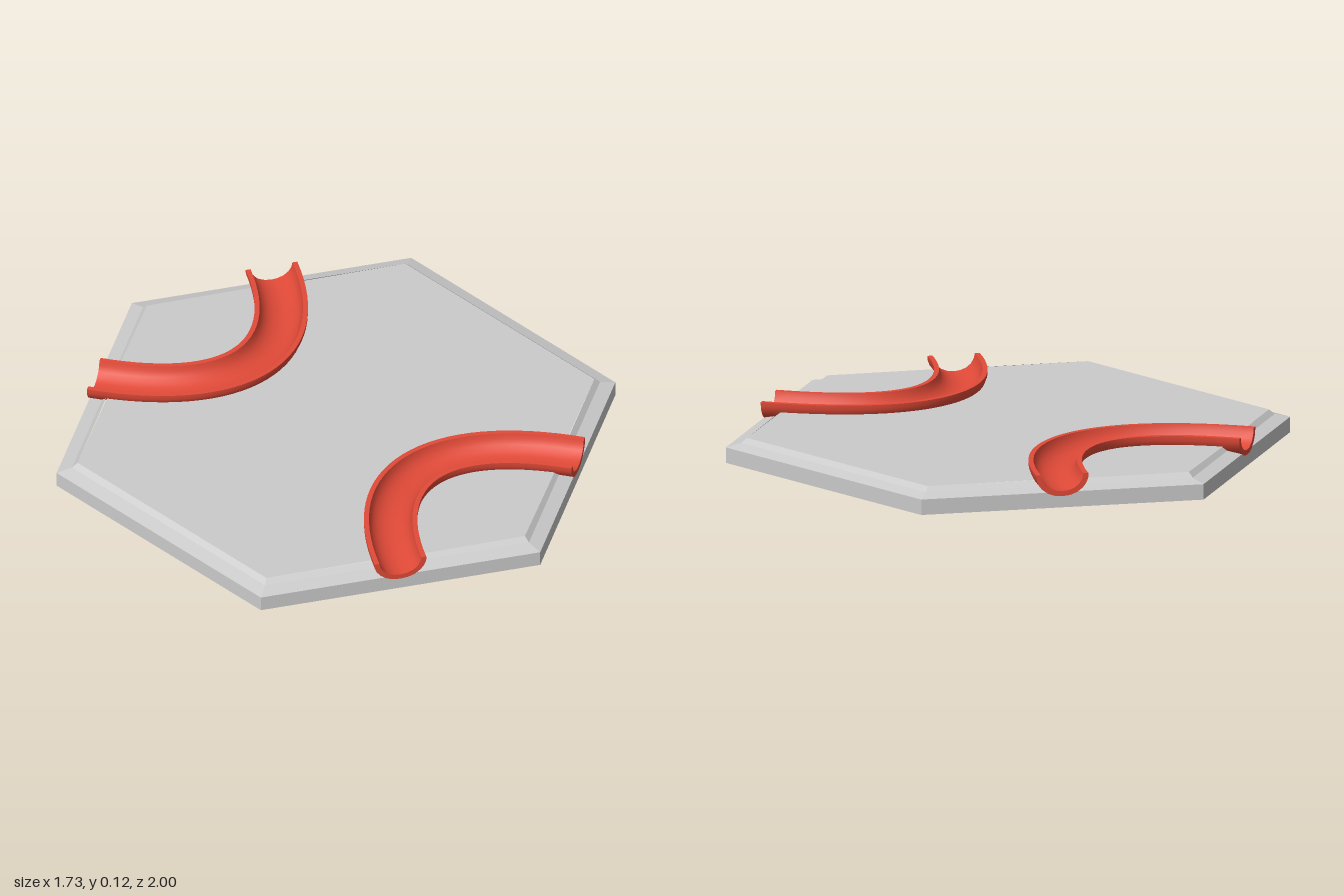
import * as THREE from 'three';
import { toCreasedNormals } from 'three/addons/utils/BufferGeometryUtils.js';

// Channel centre line in plan (x, z), from one tile edge round to the next
const path = new THREE.CubicBezierCurve(
  new THREE.Vector2(0.434, 0.751), new THREE.Vector2(0.179, 0.31),
  new THREE.Vector2(-0.179, 0.31), new THREE.Vector2(-0.434, 0.751));

// Plan point at t, shifted sideways by u (positive is the outside of the bend)
function offset(t, u) {
  const p = path.getPoint(t), d = path.getTangent(t);
  return new THREE.Vector2(p.x - d.y * u, p.y + d.x * u);
}

const corner = (k, r) => new THREE.Vector2(Math.sin(k * Math.PI / 3) * r, Math.cos(k * Math.PI / 3) * r);

// Hexagon rings from the bottom up: radius, height, half width of the channel gap
const rings = [
  { r: 1, y: 0, gap: 0 }, { r: 1, y: 0.055, gap: 0.04 },
  { r: 0.945, y: 0.068, gap: 0.055 }, { r: 0.925, y: 0.085, gap: 0.072 },
];
const channelEdges = [0, 2, 3, 5];

// Outer wall and two-step bevel, notched where the channels leave
function rimGeometry() {
  const pos = [];
  const quad = (a, b, c, d, y0, y1) => {
    for (const [p, y] of [[a, y0], [b, y0], [c, y1], [a, y0], [c, y1], [d, y1]]) pos.push(p.x, y, p.y);
  };
  for (let j = 0; j < rings.length - 1; j++) {
    const lo = rings[j], hi = rings[j + 1];
    for (let k = 0; k < 6; k++) {
      const [a0, b0, a1, b1] = [corner(k, lo.r), corner(k + 1, lo.r), corner(k, hi.r), corner(k + 1, hi.r)];
      if (j === 0 || !channelEdges.includes(k)) {
        quad(a0, b0, b1, a1, lo.y, hi.y);
        continue;
      }
      const dir = b0.clone().sub(a0).normalize();
      const at = (a, b, s) => a.clone().lerp(b, 0.5).addScaledVector(dir, s);
      quad(a0, at(a0, b0, -lo.gap), at(a1, b1, -hi.gap), a1, lo.y, hi.y);
      quad(at(a0, b0, lo.gap), b0, b1, at(a1, b1, hi.gap), lo.y, hi.y);
    }
  }
  const geo = new THREE.BufferGeometry();
  geo.setAttribute('position', new THREE.Float32BufferAttribute(pos, 3));
  geo.computeVertexNormals();
  return geo;
}

// Flat plate from a plan outline
function plateGeometry(points) {
  const shape = new THREE.Shape(points.map(p => new THREE.Vector2(p.x, -p.y)));
  return new THREE.ShapeGeometry(shape).rotateX(-Math.PI / 2).translate(0, rings[3].y, 0);
}

// Half-pipe section swept along the path
function channelGeometry() {
  const outer = [[0.0925, 0.118], [0.092, 0.102], [0.085, 0.084], [0.072, 0.067], [0.052, 0.052], [0.028, 0.043]];
  const inner = [[0.075, 0.118], [0.071, 0.1], [0.06, 0.082], [0.044, 0.069], [0.024, 0.061]];
  const mirror = pts => pts.map(([u, y]) => [-u, y]);
  const section = [
    ...mirror(outer), [0, 0.04], ...outer.slice().reverse(),
    ...inner, [0, 0.058], ...mirror(inner).reverse(),
  ];
  const shape = new THREE.Shape(section.map(([u, y]) => new THREE.Vector2(u, y)));
  const geo = new THREE.ExtrudeGeometry(shape, { depth: 1, steps: 32, bevelEnabled: false });
  const pos = geo.attributes.position;
  for (let i = 0; i < pos.count; i++) {
    const p = offset(1 - pos.getZ(i), pos.getX(i));
    pos.setXYZ(i, p.x, pos.getY(i), p.y);
  }
  geo.deleteAttribute('uv');
  return toCreasedNormals(geo, 0.8);
}

export function createModel() {
  const model = new THREE.Group();
  model.name = 'hexTrackTile';
  const grey = new THREE.MeshStandardMaterial({ color: 0xcccccc, side: THREE.DoubleSide });
  const red = new THREE.MeshStandardMaterial({ color: 0xe24a38 });
  const add = (name, geo, mat, turn = 0) => {
    const mesh = new THREE.Mesh(geo, mat);
    mesh.name = name;
    mesh.rotation.y = turn;
    model.add(mesh);
  };

  add('tileRim', rimGeometry(), grey);

  // Top surface: a middle plate and two corner plates, with the channels left open
  const top = rings[3], t0 = 0.044;
  const side = u => Array.from({ length: 25 }, (_, i) => offset(t0 + (1 - 2 * t0) * i / 24, u));
  const notch = side(top.gap);
  add('tileTop', plateGeometry([
    ...notch, corner(5, top.r), corner(4, top.r),
    ...notch.map(p => p.clone().negate()), corner(2, top.r), corner(1, top.r),
  ]), grey);

  const cornerPlate = plateGeometry([...side(-top.gap), corner(0, top.r)]);
  const channel = channelGeometry();
  for (const [end, turn] of [['front', 0], ['back', Math.PI]]) {
    add(end + 'CornerPlate', cornerPlate, grey, turn);
    add(end + 'Channel', channel, red, turn);
  }
  return model;
}
